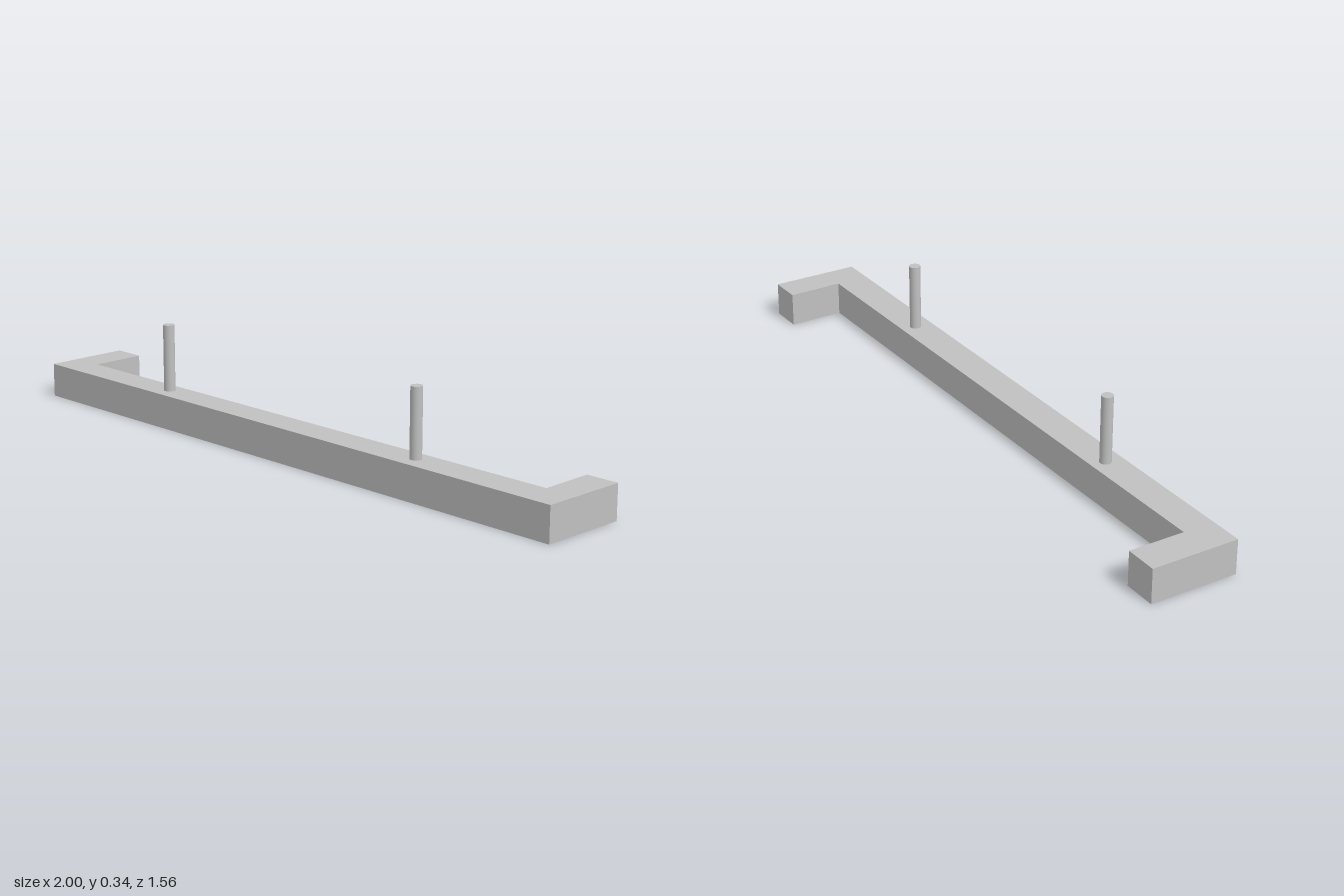
import * as THREE from 'three';

const BAR_HEIGHT = 0.115;
const PIN_TOP = 0.34;
const PIN_RADIUS = 0.019;

export function createModel() {
  const group = new THREE.Group();
  group.name = 'handleBracket';
  const grey = new THREE.MeshStandardMaterial({ color: 0xc0c0c0 });
  grey.name = 'light grey';

  // Long diagonal bar with a short return at each end, as [x, z] corners
  const outline = [
    [-1, -0.545], [0.82, 0.78], [0.998, 0.538], [0.907, 0.473],
    [0.8, 0.625], [-0.847, -0.565], [-0.735, -0.718], [-0.825, -0.784],
  ];
  const shape = new THREE.Shape(outline.map(([x, z]) => new THREE.Vector2(x, -z)));
  const barGeometry = new THREE.ExtrudeGeometry(shape, { depth: BAR_HEIGHT, bevelEnabled: false });
  barGeometry.rotateX(-Math.PI / 2);
  const bar = new THREE.Mesh(barGeometry, grey);
  bar.name = 'bar';
  group.add(bar);

  // Two upright pins on the bar
  const pinHeight = PIN_TOP - BAR_HEIGHT;
  const pinGeometry = new THREE.CylinderGeometry(PIN_RADIUS, PIN_RADIUS, pinHeight, 32);
  const pins = { rightPin: [-0.51, -0.26], leftPin: [0.4, 0.4] };
  for (const [name, [x, z]] of Object.entries(pins)) {
    const pin = new THREE.Mesh(pinGeometry, grey);
    pin.name = name;
    pin.position.set(x, BAR_HEIGHT + pinHeight / 2, z);
    group.add(pin);
  }
  return group;
}
